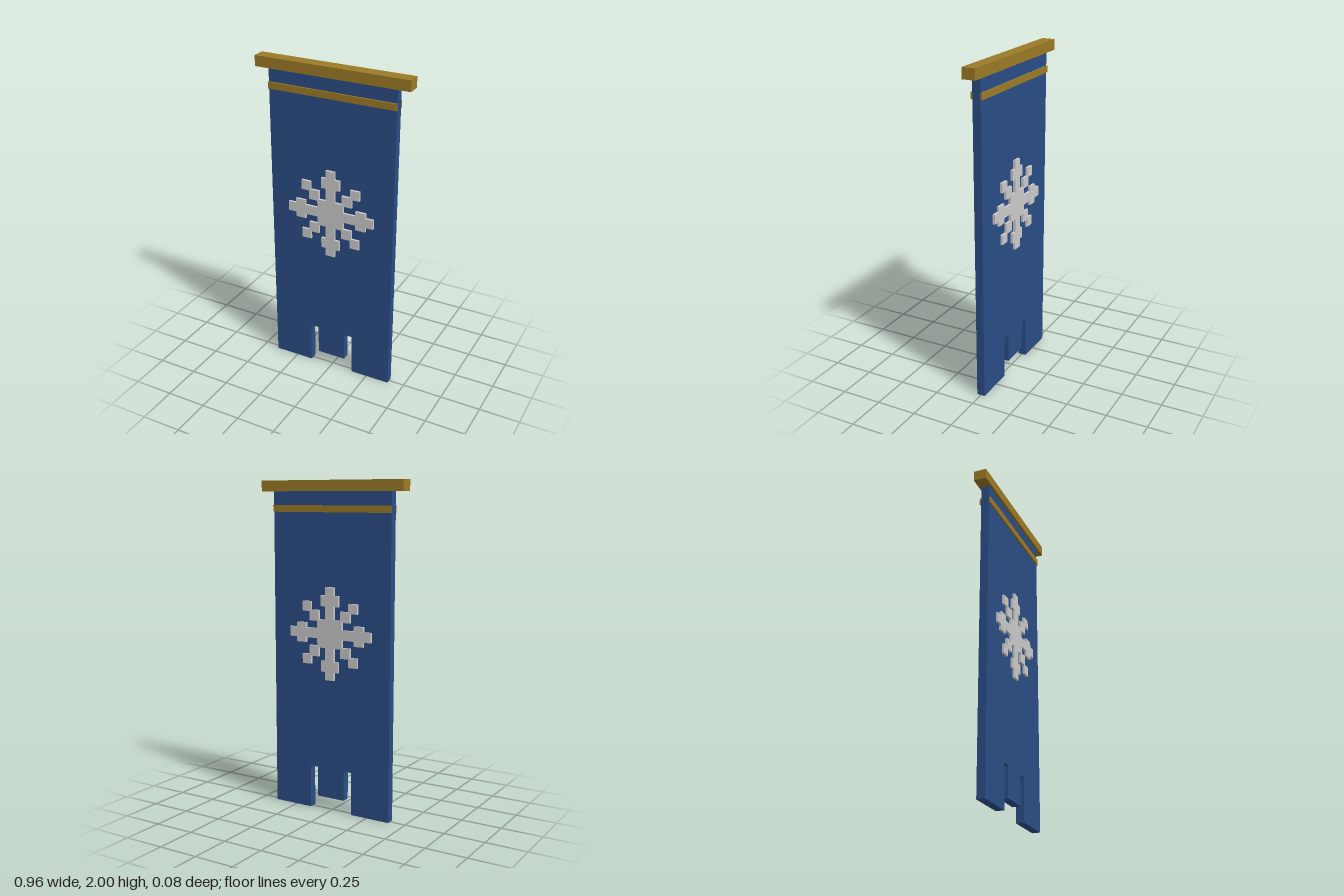
import * as THREE from 'three';

const BLUE = 0x2a4d86, GOLD = 0x9c7a26, GREY = 0xcccccc;

const material = (color) => new THREE.MeshStandardMaterial({ color, flatShading: true });
const blue = material(BLUE), gold = material(GOLD), grey = material(GREY);

function add(group, name, geometry, mat, x = 0, y = 0, z = 0) {
  const mesh = new THREE.Mesh(geometry, mat);
  mesh.name = name;
  mesh.position.set(x, y, z);
  group.add(mesh);
  return mesh;
}

// Flat outline extruded to a given depth, centred on z = 0
function plate(points, depth) {
  const shape = new THREE.Shape(points.map(([x, y]) => new THREE.Vector2(x, y)));
  return new THREE.ExtrudeGeometry(shape, { depth, bevelEnabled: false }).translate(0, 0, -depth / 2);
}

// One eighth of the snowflake, mirrored on the diagonal and turned four times
function snowflakeOutline() {
  const eighth = [
    [0.28, 0.03], [0.23, 0.03], [0.23, 0.06], [0.165, 0.06], [0.165, 0.03], [0.085, 0.03],
    [0.085, 0.075], [0.14, 0.075], [0.14, 0.13], [0.19, 0.13],
  ];
  const mirrored = eighth.map(([x, y]) => [y, x]).reverse();
  const quarter = [...eighth, [0.19, 0.19], ...mirrored];
  const outline = [];
  for (let i = 0, turn = (p) => p; i < 4; i++) {
    outline.push(...quarter.map(turn));
    const previous = turn;
    turn = (p) => { const [x, y] = previous(p); return [-y, x]; };
  }
  return outline;
}

export function createModel() {
  const group = new THREE.Group();
  group.name = 'banner';

  // Cloth with two slits and a shorter middle tail
  const half = [[0.092, 0.08], [0.092, 0.265], [0.145, 0.265], [0.145, 0], [0.4, 0], [0.4, 1.94]];
  const otherHalf = half.map(([x, y]) => [-x, y]).reverse();
  add(group, 'cloth', plate([...half, ...otherHalf], 0.05), blue);

  // Hanging bar along the top
  add(group, 'topBar', new THREE.BoxGeometry(0.96, 0.064, 0.08), gold, 0, 1.968, 0);

  // Trim strips and snowflakes on both faces
  const strip = new THREE.BoxGeometry(0.8, 0.04, 0.01);
  const flake = plate(snowflakeOutline(), 0.015);
  for (const [side, s] of [['front', 1], ['back', -1]]) {
    add(group, side + 'Trim', strip, gold, 0, 1.835, s * 0.03);
    add(group, side + 'Snowflake', flake, grey, 0, 1.1, s * 0.0325);
  }
  return group;
}
